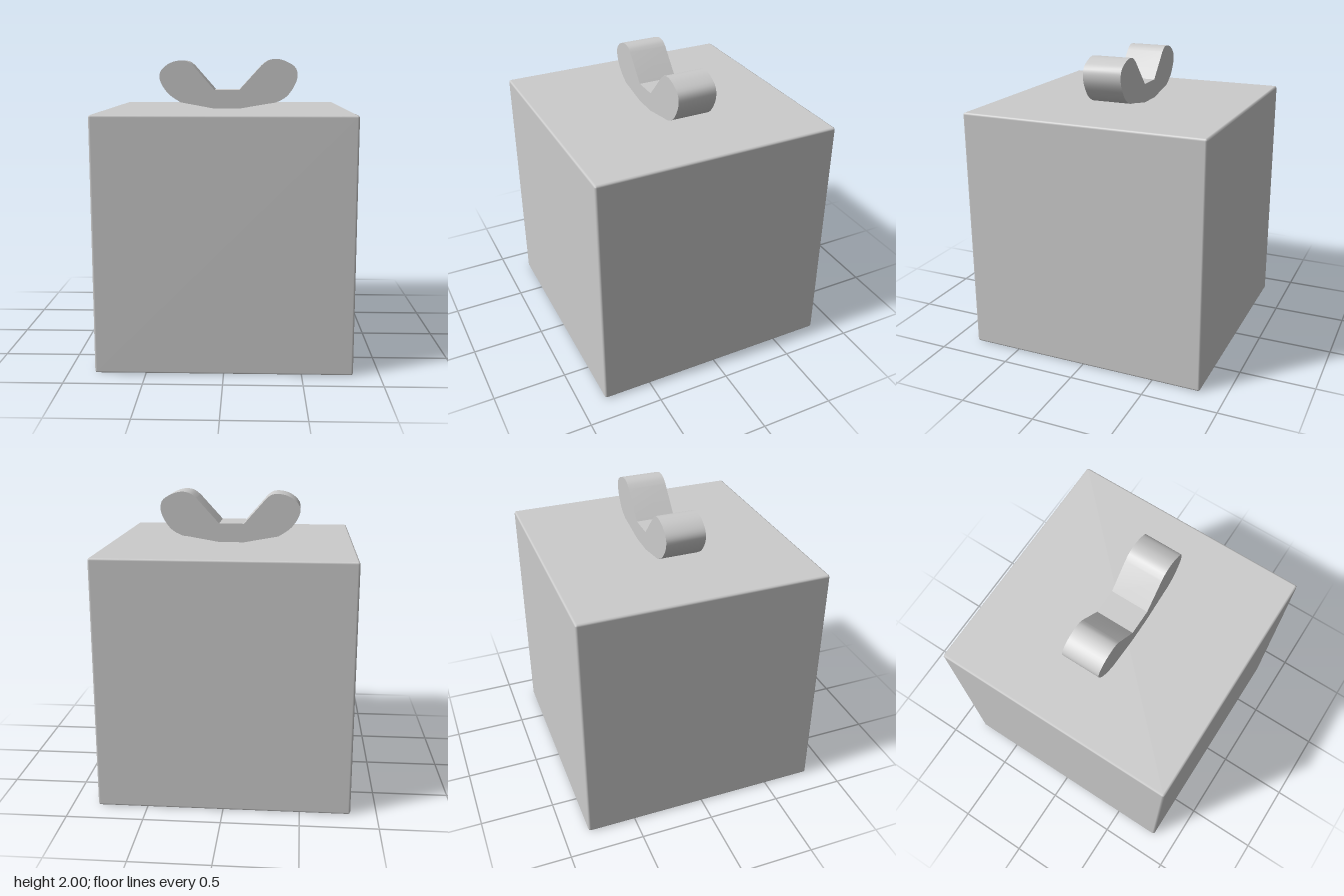
import * as THREE from 'three';
import { RoundedBoxGeometry } from 'three/addons/geometries/RoundedBoxGeometry.js';
import { toCreasedNormals } from 'three/addons/utils/BufferGeometryUtils.js';

const SIZE = 1.66;
const points = (list) => list.map(([x, y]) => new THREE.Vector2(x, y));

export function createModel() {
  const model = new THREE.Group();
  const material = new THREE.MeshStandardMaterial({ color: 0xcccccc });

  // Cube with a narrow, softly shaded bevel
  const box = new THREE.Mesh(new RoundedBoxGeometry(SIZE, SIZE, SIZE, 1, 0.015), material);
  box.name = 'box';
  box.position.y = SIZE / 2;
  model.add(box);

  // Bow outline: flat knot in the middle, a rounded lobe rising on each side
  const outline = new THREE.Shape();
  outline.moveTo(-0.085, 1.66);
  outline.lineTo(0.085, 1.66);
  outline.lineTo(0.3, 1.697);
  outline.splineThru(points([
    [0.345, 1.705], [0.415, 1.745], [0.468, 1.82], [0.487, 1.885],
    [0.47, 1.945], [0.4, 1.987], [0.34, 2.0], [0.285, 1.99], [0.24, 1.957],
  ]));
  outline.lineTo(0.085, 1.787);
  outline.lineTo(-0.085, 1.787);
  outline.lineTo(-0.235, 1.957);
  outline.splineThru(points([
    [-0.27, 1.983], [-0.32, 1.99], [-0.39, 1.973], [-0.447, 1.93],
    [-0.466, 1.883], [-0.45, 1.825], [-0.4, 1.757], [-0.32, 1.703],
  ]));
  outline.closePath();

  const bowGeometry = new THREE.ExtrudeGeometry(outline, {
    depth: 0.265, bevelEnabled: false, curveSegments: 3,
  });
  bowGeometry.translate(0, 0, -0.137);
  const bow = new THREE.Mesh(toCreasedNormals(bowGeometry, 0.65), material);
  bow.name = 'bow';
  model.add(bow);

  return model;
}
